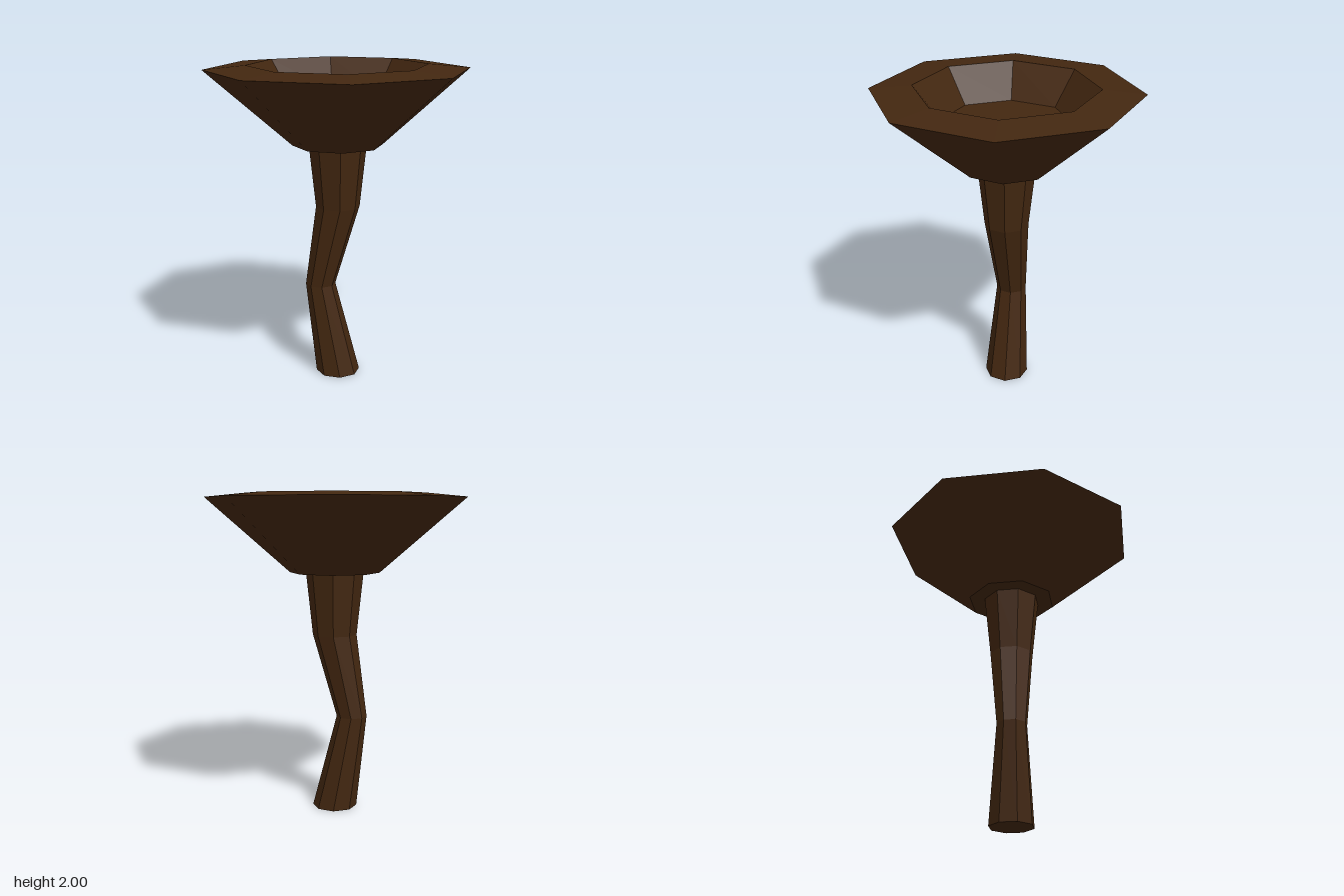
import * as THREE from 'three';

const SIDES = 8;

// Octagonal solid of revolution from [radius, height] pairs, bottom to top
function turned(profile) {
  return new THREE.LatheGeometry(profile.map(([r, y]) => new THREE.Vector2(r, y)), SIDES);
}

export function createModel() {
  const model = new THREE.Group();
  const wood = new THREE.MeshStandardMaterial({ color: 0x432710, flatShading: true });
  wood.name = 'dark brown wood';

  const add = (name, geometry) => {
    const mesh = new THREE.Mesh(geometry, wood);
    mesh.name = name;
    model.add(mesh);
  };

  // Crooked stem: the narrow ring is pushed off the axis
  const stem = turned([[0, 0], [0.14, 0], [0.095, 0.6], [0.138, 1.12], [0.18, 1.51]]);
  const pos = stem.attributes.position;
  for (let i = 0; i < pos.count; i++) {
    if (Math.abs(pos.getY(i) - 0.6) < 0.01) {
      pos.setX(i, pos.getX(i) - 0.06);
      pos.setZ(i, pos.getZ(i) - 0.095);
    }
  }
  stem.computeVertexNormals();
  add('stem', stem);

  // Flared bowl with a sloping rim and a sunken floor
  add('bowl', turned([[0, 1.51], [0.28, 1.51], [0.815, 1.975], [0.555, 2], [0.395, 1.79], [0, 1.79]]));

  return model;
}
